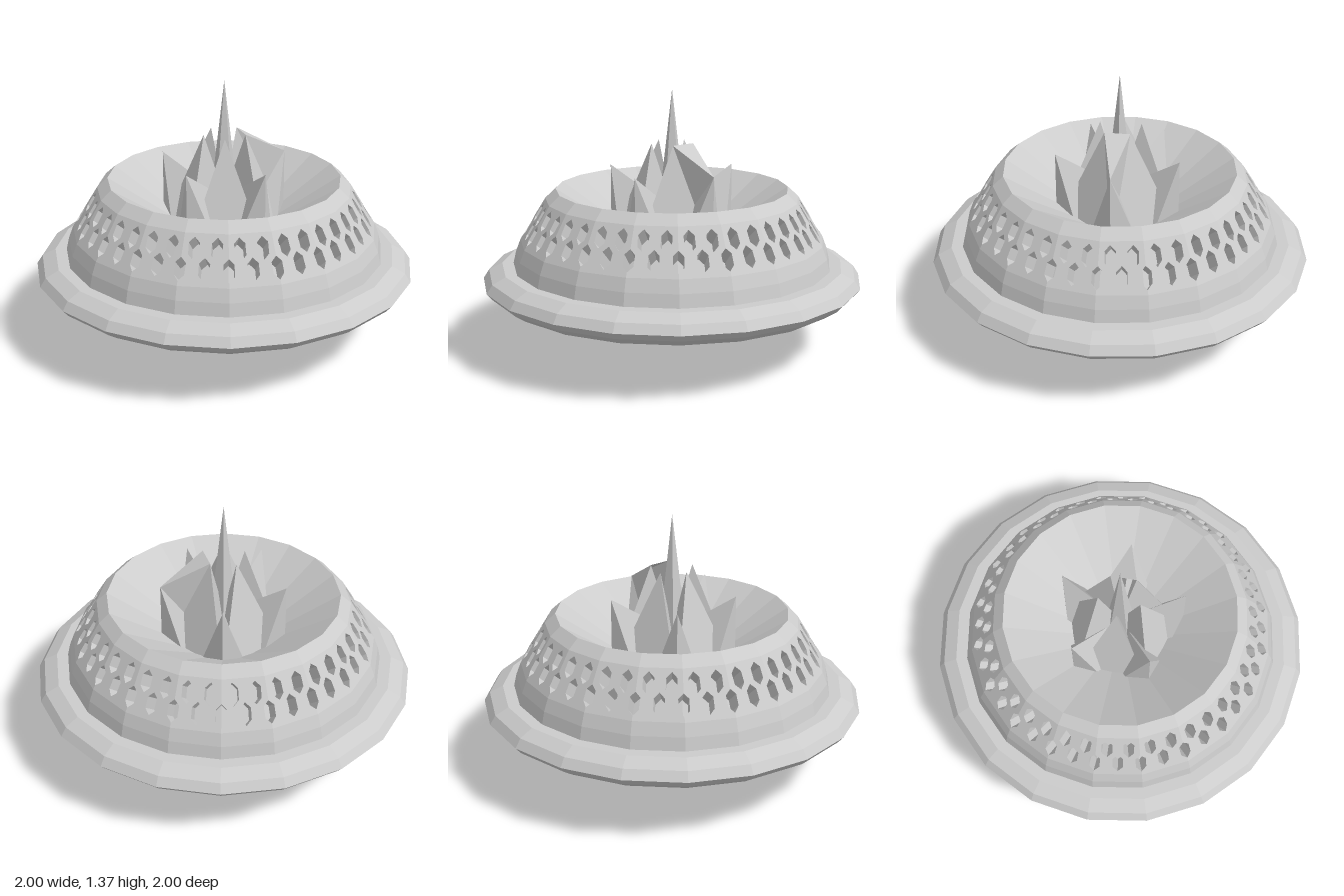
import * as THREE from 'three';

const SIDES = 20;
const STEP = (Math.PI * 2) / SIDES;
const mat = new THREE.MeshStandardMaterial({ color: 0xcccccc, flatShading: true, side: THREE.DoubleSide });

// Point from radius, height and angle (0 = +z)
const polar = (r, y, a) => new THREE.Vector3(r * Math.sin(a), y, r * Math.cos(a));

// Mesh from a flat list of triangle corners
function triMesh(name, corners) {
  const geo = new THREE.BufferGeometry().setFromPoints(corners);
  geo.computeVertexNormals();
  const mesh = new THREE.Mesh(geo, mat);
  mesh.name = name;
  return mesh;
}

function lathe(name, profile) {
  const pts = profile.map(([r, y]) => new THREE.Vector2(r, y));
  const mesh = new THREE.Mesh(new THREE.LatheGeometry(pts, SIDES), mat);
  mesh.name = name;
  return mesh;
}

// Dome band pierced by two staggered rows of slanted hexagonal holes
const Y0 = 0.58, Y1 = 0.80, R0 = 0.80, R1 = 0.665;
const bandRadius = (y) => R0 + ((R1 - R0) * (y - Y0)) / (Y1 - Y0);
const halfWidth = (y) => bandRadius(y) * Math.sin(STEP / 2);

function piercedBand() {
  const w = 0.027, h = 0.049, low = 0.65, high = 0.735;
  const hex = (s, y) => [[s, y - h], [s + w, y - h / 2], [s + w, y + h / 2],
    [s, y + h], [s - w, y + h / 2], [s - w, y - h / 2]];
  // Half hexagon cut into the side edge of a panel
  const notch = (side) => [[0, -h], [w, -h / 2], [w, h / 2], [0, h]]
    .map(([d, dy]) => [side * (halfWidth(low + dy) - d), low + dy]);

  const to2 = (list) => list.map(([x, y]) => new THREE.Vector2(x, y));
  const holes = [hex(0, low), hex(halfWidth(high) / 2, high), hex(-halfWidth(high) / 2, high)];
  const panel = new THREE.Shape(to2([
    [-halfWidth(Y0), Y0], [halfWidth(Y0), Y0], ...notch(1),
    [halfWidth(Y1), Y1], [-halfWidth(Y1), Y1], ...notch(-1).reverse(),
  ]));
  panel.holes = holes.map((p) => new THREE.Path(to2(p)));

  const place = ([s, y]) => new THREE.Vector3(s, y, bandRadius(y) * Math.cos(STEP / 2));
  const corners = [];
  const flat = new THREE.ShapeGeometry(panel).toNonIndexed().attributes.position;
  for (let i = 0; i < flat.count; i++) corners.push(place([flat.getX(i), flat.getY(i)]));

  // Walls and floor of each hole
  const bore = (outline, angle, closed) => {
    const dir = polar(-0.08, -0.07, angle);
    const rim = outline.map(place);
    const end = rim.map((p) => p.clone().add(dir));
    const n = closed ? rim.length : rim.length - 1;
    for (let i = 0; i < n; i++) {
      const j = (i + 1) % rim.length;
      corners.push(rim[i], end[i], rim[j], rim[j], end[i], end[j]);
    }
    for (let i = 1; i < end.length - 1; i++) corners.push(end[0], end[i], end[i + 1]);
  };
  bore(holes[0], 0, true);
  bore(holes[1], STEP / 4, true);
  bore(holes[2], -STEP / 4, true);
  bore(notch(1), STEP / 2, false);
  bore(notch(-1), -STEP / 2, false);

  const band = new THREE.Group();
  band.name = 'piercedDomeBand';
  const first = triMesh('domePanel', corners);
  for (let k = 0; k < SIDES; k++) {
    const m = first.clone();
    m.rotation.y = (k + 0.5) * STEP;
    band.add(m);
  }
  return band;
}

// Five-sided crystal crown: corner spikes, inner gables and a central spire
function crown() {
  const group = new THREE.Group();
  group.name = 'crystalCrown';
  const fifth = (Math.PI * 2) / 5;
  const angle = (i) => Math.PI + i * fifth;
  const base = (i) => polar(0.338, 0.55, angle(i));
  const tip = (i) => polar(0.338, 0.955, angle(i));
  const peak = (i) => polar(0.113, 1.09, angle(i) + fifth / 2);
  const core = new THREE.Vector3(0, 0.75, 0);

  for (let i = 0; i < 5; i++) {
    const a = base(i), b = base(i + 1), p = peak(i);
    group.add(triMesh('gable', [a, b, p, b, core, p, core, a, p]));

    const t = tip(i), inner = polar(0.1, 0.8, angle(i));
    const left = a.clone().lerp(base(i - 1), 0.4), right = a.clone().lerp(b, 0.4);
    group.add(triMesh('cornerSpike', [a, right, t, left, a, t, right, inner, t, inner, left, t]));
  }

  // One corner is filled up to its two neighbouring peaks
  const t = tip(4), b = base(4), p = peak(3), q = peak(4);
  group.add(triMesh('filledCorner', [b, t, p, b, q, t, p, t, q]));

  const spire = new THREE.Mesh(new THREE.ConeGeometry(0.085, 0.72, 5, 1, true), mat);
  spire.name = 'spire';
  spire.position.y = 1.01;
  spire.rotation.y = Math.PI;
  group.add(spire);
  return group;
}

// Pleated cone hanging underneath
function pleatedCone() {
  const pleats = 44, corners = [];
  const apex = new THREE.Vector3(0.035, 0, 0.03);
  const edge = (i) => polar(i % 2 ? 0.325 : 0.375, 0.3, (i * Math.PI) / pleats)
    .add(new THREE.Vector3(0.02, 0, 0.02));
  for (let i = 0; i < pleats * 2; i++) corners.push(apex, edge(i + 1), edge(i));
  return triMesh('pleatedCone', corners);
}

export function createModel() {
  const model = new THREE.Group();
  model.name = 'saucer';
  model.add(
    lathe('rim', [[0, 0.295], [0.91, 0.295], [0.97, 0.335], [1, 0.37], [0.97, 0.415], [0.9, 0.45], [0.82, 0.45]]),
    lathe('lowerDome', [[0.84, 0.45], [0.825, 0.515], [R0, Y0]]),
    piercedBand(),
    lathe('upperDome', [[R1, Y1], [0.61, 0.85]]),
    lathe('bowl', [[0.61, 0.85], [0, 0.45]]),
    crown(),
    pleatedCone(),
  );
  return model;
}
